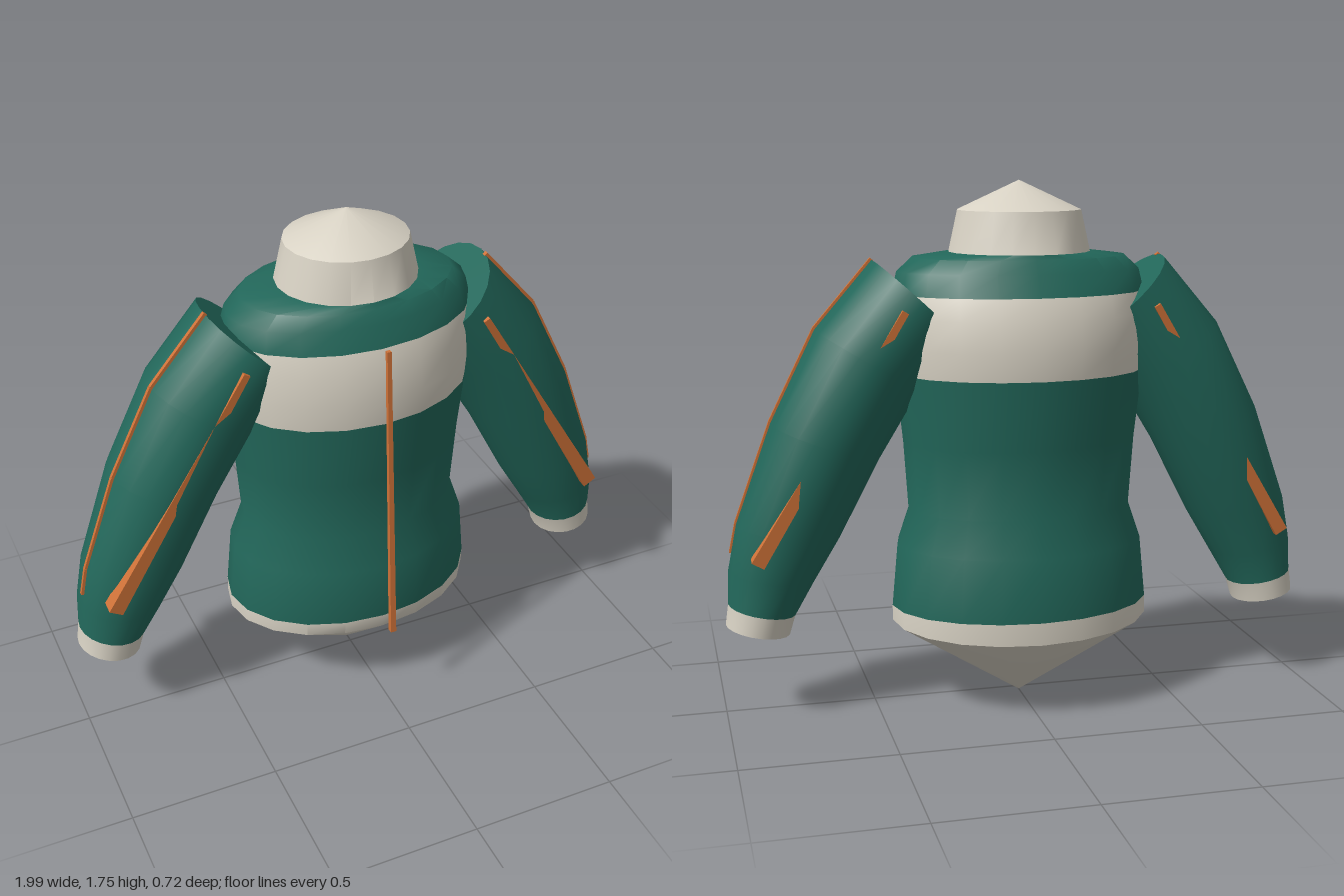
import * as THREE from 'three';
import { toCreasedNormals } from 'three/addons/utils/BufferGeometryUtils.js';

const mat = (name, color, side = THREE.FrontSide) => {
  const m = new THREE.MeshStandardMaterial({ color, side });
  m.name = name;
  return m;
};

// Skin a stack of elliptical rings; rows[i] is the material index between ring i and i + 1
function loft(rings, rows, sides) {
  const pos = [], index = [];
  for (const { c, u, rz, drop = 0 } of rings) {
    for (let j = 0; j < sides; j++) {
      const t = (j / sides) * Math.PI * 2, s = Math.sin(t), k = Math.cos(t);
      pos.push(c[0] + u[0] * s, c[1] + u[1] * s - drop * Math.max(0, -k), c[2] + rz * k);
    }
  }
  const geo = new THREE.BufferGeometry();
  rows.forEach((material, i) => {
    const start = index.length;
    for (let j = 0; j < sides; j++) {
      const a = i * sides + j, b = i * sides + ((j + 1) % sides);
      if (rings[i].rz > 0) index.push(a, b, b + sides);
      if (rings[i + 1].rz > 0) index.push(a, b + sides, a + sides);
    }
    geo.addGroup(start, index.length - start, material);
  });
  geo.setAttribute('position', new THREE.Float32BufferAttribute(pos, 3));
  geo.setIndex(index);
  return toCreasedNormals(geo, 0.75);
}

// Tapered square strip between two points
function strip(from, to, r0, r1, material, name) {
  const a = new THREE.Vector3(...from), b = new THREE.Vector3(...to);
  const dir = b.clone().sub(a);
  const geo = new THREE.CylinderGeometry(r1, r0, dir.length(), 4).toNonIndexed();
  geo.rotateY(Math.PI / 4);
  geo.computeVertexNormals();
  const mesh = new THREE.Mesh(geo, material);
  mesh.position.copy(a).add(b).multiplyScalar(0.5);
  mesh.quaternion.setFromUnitVectors(new THREE.Vector3(0, 1, 0), dir.normalize());
  mesh.name = name;
  return mesh;
}

export function createModel() {
  const green = mat('green cloth', 0x22675a);
  const cream = mat('cream trim', 0xd8d2c4);
  const orange = mat('orange piping', 0xcf7238);
  const cloth = [green, cream];
  const G = 0, C = 1;
  const model = new THREE.Group();
  model.name = 'jacket';

  // Torso: y, half width, front z, back z, drop at the back, colour of the band above
  const torsoProfile = [
    [0, 0, -0.03, -0.03, 0, C],
    [0.29, 0.44, 0.275, -0.355, 0.025, C],
    [0.34, 0.44, 0.28, -0.355, 0, G],
    [0.55, 0.42, 0.275, -0.345, 0, G],
    [0.67, 0.38, 0.235, -0.3, 0, G],
    [0.9, 0.395, 0.255, -0.32, 0, G],
    [1.13, 0.42, 0.275, -0.345, 0, C],
    [1.22, 0.43, 0.278, -0.35, 0, C],
    [1.32, 0.43, 0.265, -0.335, 0, C],
    [1.39, 0.425, 0.245, -0.31, 0, G],
    [1.46, 0.41, 0.215, -0.275, 0, G],
    [1.505, 0.36, 0.195, -0.255, 0, G],
    [1.52, 0.235, 0.18, -0.245, 0, C],
    [1.655, 0.205, 0.155, -0.22, 0, C],
    [1.75, 0, -0.03, -0.03, 0, C],
  ];
  const torsoRings = torsoProfile.map(([y, rx, zf, zb, drop]) => (
    { c: [0, y, (zf + zb) / 2], u: [rx, 0], rz: (zf - zb) / 2, drop }));
  const torso = new THREE.Mesh(
    loft(torsoRings, torsoProfile.slice(0, -1).map((p) => p[5]), 20), cloth);
  torso.name = 'torso';
  model.add(torso);

  // Front zip standing clear of the chest
  model.add(strip([0, 0.33, 0.353], [0, 1.405, 0.288], 0.014, 0.01, orange, 'zip'));

  // Sleeves: outer x, y, inner x, y, front z, back z (cuff to shoulder)
  const sleeveProfile = [
    [0.995, 0.315, 0.785, 0.275, 0.08, -0.155],
    [0.985, 0.385, 0.765, 0.34, 0.085, -0.158],
    [0.98, 0.5, 0.7, 0.45, 0.108, -0.17],
    [0.95, 0.65, 0.61, 0.6, 0.128, -0.195],
    [0.83, 0.98, 0.475, 0.86, 0.15, -0.228],
    [0.68, 1.28, 0.34, 1.08, 0.158, -0.235],
    [0.49, 1.5, 0.22, 1.25, 0.15, -0.228],
  ];
  for (const s of [1, -1]) {
    const side = new THREE.Group();
    side.name = s > 0 ? 'leftSleeve' : 'rightSleeve';
    const rings = sleeveProfile.map(([ox, oy, ix, iy, zf, zb]) => ({
      c: [s * (ox + ix) / 2, (oy + iy) / 2, (zf + zb) / 2],
      u: [(ox - ix) / 2, s * (oy - iy) / 2],
      rz: (zf - zb) / 2,
    }));
    // Close both ends with a centre point
    const cap = (r) => ({ c: r.c, u: [0, 0], rz: 0 });
    const closed = [cap(rings[0]), ...rings, cap(rings[rings.length - 1])];
    const sleeve = new THREE.Mesh(loft(closed, [C, C, G, G, G, G, G, G], 20), cloth);
    sleeve.name = 'sleeve';
    side.add(sleeve);

    // Piping down the front and back of the sleeve
    side.add(strip([s * 0.895, 0.55, 0.112], [s * 0.415, 1.35, 0.148], 0.036, 0.016, orange, 'frontPiping'));
    side.add(strip([s * 0.895, 0.55, -0.17], [s * 0.415, 1.35, -0.224], 0.032, 0.016, orange, 'backPiping'));

    // Piping along the outer seam
    const seam = sleeveProfile.slice(2).map(([x, y]) => [s * (x - 0.004), y, -0.005]);
    seam[0] = [s * 0.967, 0.55, -0.005];
    for (let i = 0; i < seam.length - 1; i++) {
      side.add(strip(seam[i], seam[i + 1], 0.01, 0.01, orange, 'outerPiping'));
    }
    model.add(side);
  }
  return model;
}
